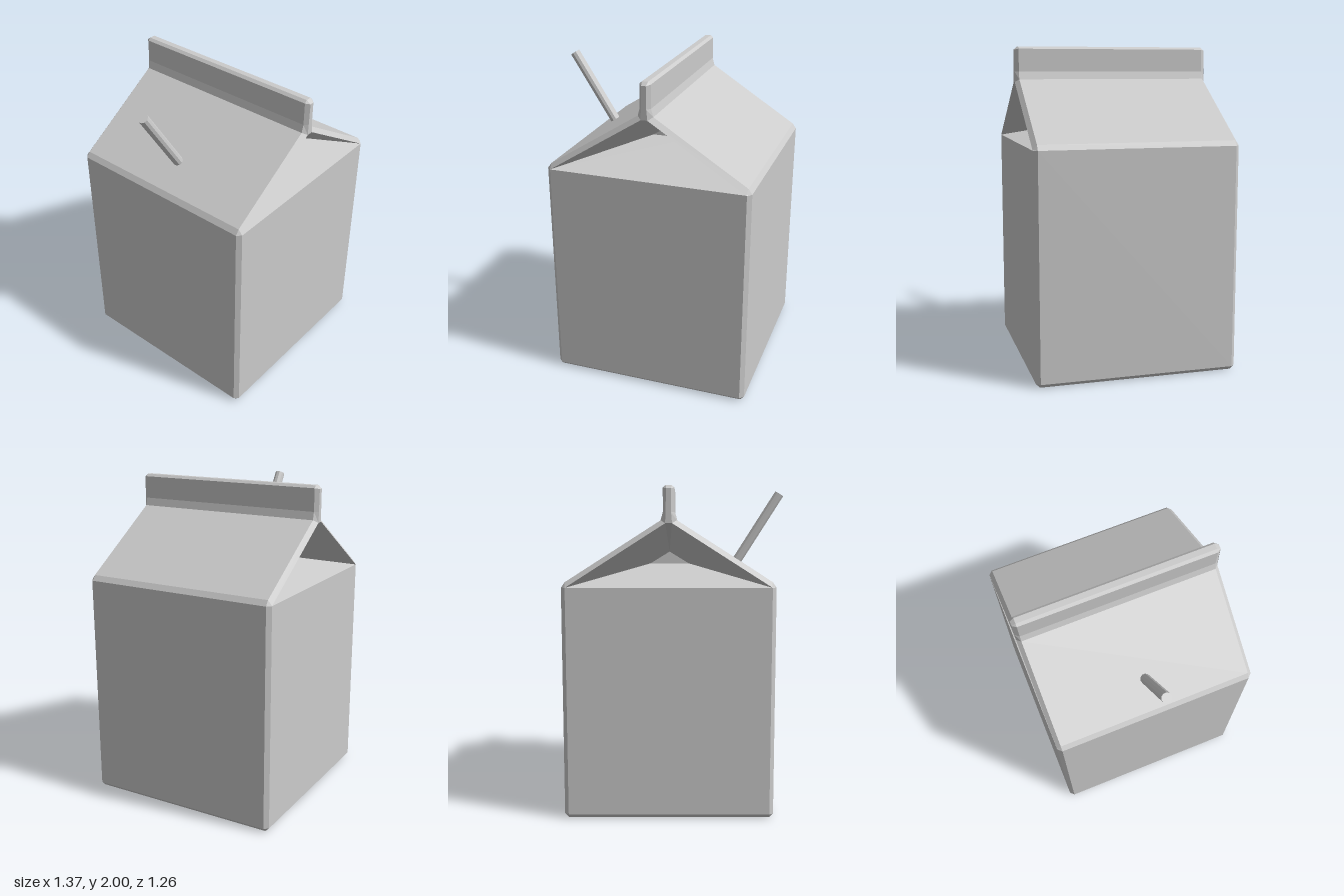
import * as THREE from 'three';

const CX = 0.05; // the carton sits off centre, the straw leans out to the other side
const Z_OUT = 0.63, Z_CHAMFER = 0.605, Z_RECESS = 0.15;

const material = () => new THREE.MeshStandardMaterial({ color: 0xcccccc, flatShading: true });

// Flat-sided mesh from convex polygons, corners counter-clockwise seen from outside
function polygonMesh(name, polygons) {
  const pos = [];
  for (const p of polygons)
    for (let i = 1; i < p.length - 1; i++) pos.push(...p[0], ...p[i], ...p[i + 1]);
  const geo = new THREE.BufferGeometry();
  geo.setAttribute('position', new THREE.Float32BufferAttribute(pos, 3));
  geo.computeVertexNormals();
  const mesh = new THREE.Mesh(geo, material());
  mesh.name = name;
  return mesh;
}

// Closed counter-clockwise loop from the right half of a profile
const mirrorLoop = (half) => [...half, ...half.map(([x, y]) => [-x, y]).reverse()];

// Half profiles: full outline, and the outline inside the end chamfer
const outer = [[0.61, 0], [0.635, 0.025], [0.635, 1.405], [0.612, 1.437],
  [0.047, 1.797], [0.034, 1.845], [0.034, 1.985], [0.018, 2]];
const inner = [[0.61, 0.025], [0.61, 0.025], [0.61, 1.405], [0.605, 1.408],
  [0.02, 1.78], [0.014, 1.845], [0.014, 1.98], [0.014, 1.98]];

// Walls, roof, top seam and bottom, joined across four rings along z
function shell() {
  const rings = [[inner, -Z_OUT], [outer, -Z_CHAMFER], [outer, Z_CHAMFER], [inner, Z_OUT]]
    .map(([half, z]) => mirrorLoop(half).map(([x, y]) => [x, y, z]));
  const polygons = [];
  for (let k = 0; k < rings.length - 1; k++) {
    const a = rings[k], b = rings[k + 1], n = a.length;
    for (let i = 0; i < n; i++) {
      const j = (i + 1) % n;
      polygons.push([a[i], a[j], b[j], b[i]]);
    }
  }
  return polygonMesh('cartonShell', polygons);
}

// Front end: wall, seam end and the folded-in gable
function gableEnd(name) {
  const pt = (x, y, z = Z_OUT) => [x, y, z];
  const [cornerR, eaveR, ridgeR] = inner.slice(2, 5).map(([x, y]) => pt(x, y));
  const flip = ([x, y, z]) => [-x, y, z];
  const cornerL = flip(cornerR), eaveL = flip(eaveR), ridgeL = flip(ridgeR);
  const foldR = pt(0.122, 1.525, Z_RECESS), foldL = flip(foldR);
  const foldTop = pt(0, 1.6, Z_RECESS);
  return polygonMesh(name, [
    [pt(-0.61, 0.025), pt(0.61, 0.025), cornerR, cornerL],
    [ridgeL, ridgeR, pt(0.014, 1.845), pt(0.014, 1.98), pt(-0.014, 1.98), pt(-0.014, 1.845)],
    [cornerL, cornerR, foldR, foldL],
    [foldL, foldR, foldTop],
    [foldTop, foldR, cornerR, eaveR, ridgeR],
    [foldTop, ridgeL, eaveL, cornerL, foldL],
    [foldTop, ridgeR, ridgeL],
  ]);
}

function straw() {
  const top = new THREE.Vector3(-0.66, 1.967, 0);
  const bottom = new THREE.Vector3(-0.36, 1.492, 0);
  const dir = top.clone().sub(bottom);
  const mesh = new THREE.Mesh(new THREE.CylinderGeometry(0.031, 0.031, dir.length(), 10), material());
  mesh.position.copy(top).add(bottom).multiplyScalar(0.5);
  mesh.quaternion.setFromUnitVectors(new THREE.Vector3(0, 1, 0), dir.normalize());
  mesh.name = 'straw';
  return mesh;
}

export function createModel() {
  const model = new THREE.Group();
  model.name = 'drinkCarton';

  const carton = new THREE.Group();
  carton.name = 'carton';
  carton.position.x = CX;
  const back = gableEnd('backGable');
  back.rotation.y = Math.PI;
  carton.add(shell(), gableEnd('frontGable'), back);

  model.add(carton, straw());
  return model;
}
